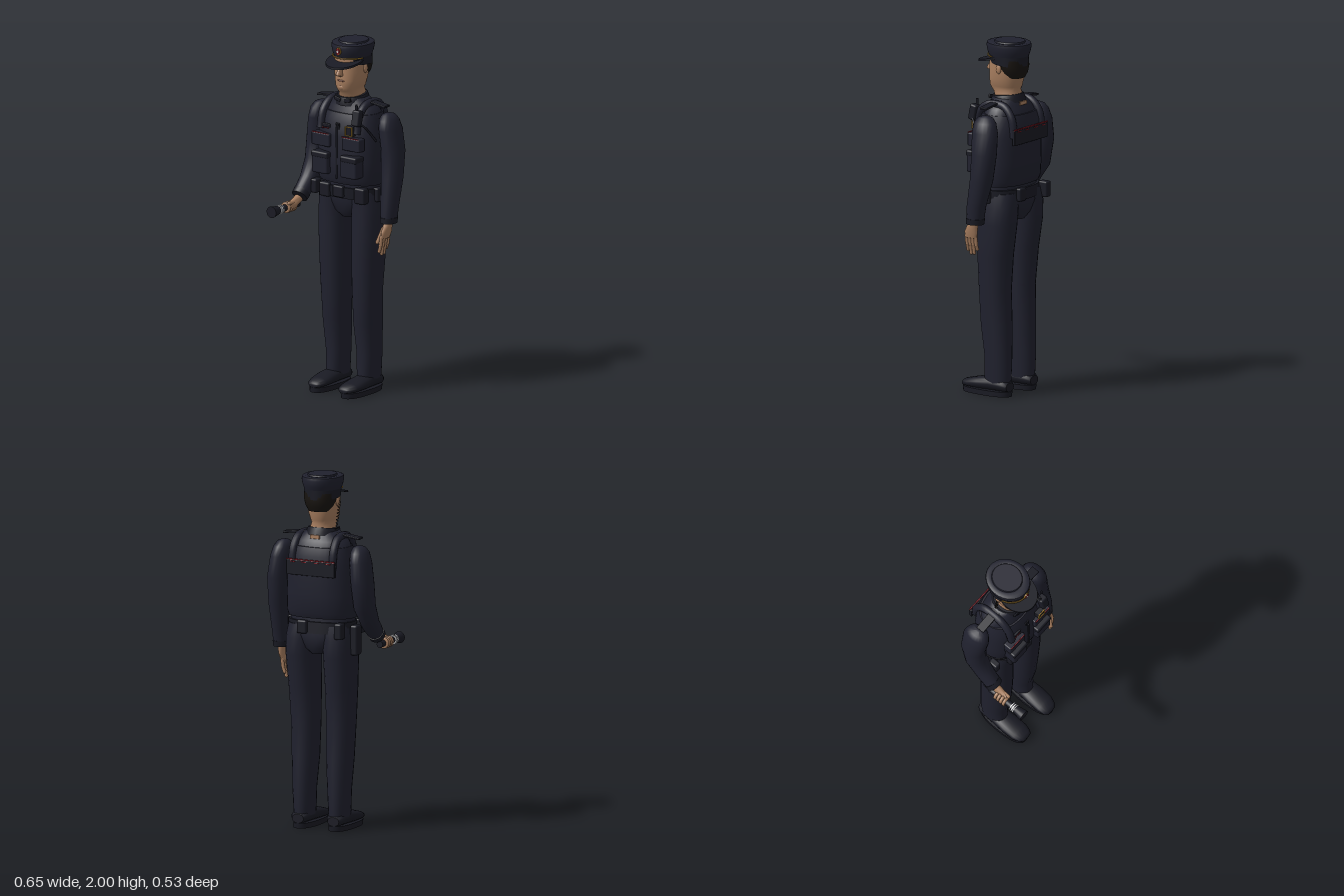
import * as THREE from 'three';
import { toCreasedNormals } from 'three/addons/utils/BufferGeometryUtils.js';
import { RoundedBoxGeometry } from 'three/addons/geometries/RoundedBoxGeometry.js';

const mat = (name, color) => Object.assign(new THREE.MeshStandardMaterial({ color }), { name });

// Closed skin over rings [x, y, z, rx, rz, tilt about x]; power above 2 squares the ring
function loft(rings, n = 24, power = 2, crease = 0.9) {
  const pos = [], idx = [];
  const sq = (v) => Math.sign(v) * Math.pow(Math.abs(v), 2 / power);
  for (const [x, y, z, rx, rz, tilt = 0] of rings) {
    for (let i = 0; i < n; i++) {
      const a = (i / n) * Math.PI * 2, w = rz * sq(Math.sin(a));
      pos.push(x + rx * sq(Math.cos(a)), y - w * Math.sin(tilt), z + w * Math.cos(tilt));
    }
  }
  const last = rings.length - 1, c0 = rings.length * n;
  pos.push(...rings[0].slice(0, 3), ...rings[last].slice(0, 3));
  for (let i = 0; i < n; i++) {
    const j = (i + 1) % n;
    for (let r = 0; r < last; r++) {
      const a = r * n + i, b = r * n + j;
      idx.push(a, a + n, b, b, a + n, b + n);
    }
    idx.push(c0, i, j, c0 + 1, last * n + j, last * n + i);
  }
  const g = new THREE.BufferGeometry();
  g.setAttribute('position', new THREE.Float32BufferAttribute(pos, 3));
  g.setIndex(idx);
  return toCreasedNormals(g, crease);
}

export function createModel() {
  const root = new THREE.Group();
  root.name = 'uniformedOfficer';
  const navy = mat('navyCloth', 0x20212e), black = mat('blackLeather', 0x191a23), skin = mat('skin', 0xa97f60);
  const red = mat('redTrim', 0x7d1822), gold = mat('goldTrim', 0xa07a28), white = mat('whiteTrim', 0xe6e6e6);
  const hair = mat('darkHair', 0x17130f), lip = mat('lips', 0x8a5a48);

  const add = (name, geo, m, x = 0, y = 0, z = 0) => {
    const mesh = new THREE.Mesh(geo, m);
    mesh.name = name;
    mesh.position.set(x, y, z);
    root.add(mesh);
    return mesh;
  };
  const box = (name, m, w, h, d, x, y, z, r = 0.008) =>
    add(name, new RoundedBoxGeometry(w, h, d, 2, Math.min(r, w / 3, h / 3, d / 3)), m, x, y, z);
  const tube = (name, m, pts, r, seg = 24, sides = 8) =>
    add(name, new THREE.TubeGeometry(new THREE.CatmullRomCurve3(pts.map((p) => new THREE.Vector3(...p))), seg, r, sides), m);
  const ball = (name, m, x, y, z, sx, sy, sz) => {
    const b = add(name, new THREE.SphereGeometry(1, 16, 12), m, x, y, z);
    b.scale.set(sx, sy, sz);
    return b;
  };
  // Rounded finger between two points
  const finger = (name, a, b, r) => {
    const p = new THREE.Vector3(...a), d = new THREE.Vector3(...b).sub(p), len = d.length();
    const f = add(name, new THREE.CapsuleGeometry(r, len, 4, 8), skin);
    f.position.copy(p).addScaledVector(d, 0.5);
    f.quaternion.setFromUnitVectors(new THREE.Vector3(0, 1, 0), d.normalize());
  };

  // Legs and shoes
  for (const s of [-1, 1]) {
    add('trouserLeg', loft([
      [s * 0.108, 0.07, -0.11, 0.054, 0.08], [s * 0.108, 0.13, -0.11, 0.057, 0.083],
      [s * 0.108, 0.22, -0.113, 0.062, 0.082], [s * 0.107, 0.4, -0.1, 0.072, 0.093],
      [s * 0.109, 0.6, -0.092, 0.079, 0.094], [s * 0.113, 0.8, -0.097, 0.085, 0.106],
      [s * 0.116, 0.98, -0.11, 0.091, 0.12], [s * 0.112, 1.08, -0.113, 0.091, 0.122],
      [s * 0.1, 1.16, -0.105, 0.09, 0.118]], 20, 2.2), navy);
    add('shoeUpper', loft([
      [s * 0.11, 0.055, -0.195, 0.035, 0.025, 1.57], [s * 0.11, 0.062, -0.17, 0.052, 0.034, 1.57],
      [s * 0.11, 0.066, -0.08, 0.055, 0.04, 1.57], [s * 0.11, 0.06, 0.0, 0.06, 0.035, 1.57],
      [s * 0.108, 0.052, 0.07, 0.058, 0.026, 1.57], [s * 0.105, 0.047, 0.11, 0.045, 0.02, 1.57],
      [s * 0.104, 0.043, 0.124, 0.03, 0.012, 1.57]], 20, 2.2), black);
    add('shoeSole', loft([[s * 0.109, 0, -0.038, 0.06, 0.159], [s * 0.109, 0.03, -0.038, 0.061, 0.162]], 24, 2.5), black);
  }

  // Torso
  add('hips', loft([[0, 0.995, -0.115, 0.045, 0.085], [0, 1.03, -0.112, 0.1, 0.11], [0, 1.1, -0.112, 0.18, 0.122],
    [0, 1.17, -0.1, 0.188, 0.12], [0, 1.23, -0.1, 0.185, 0.12]], 28, 2.3), navy);
  add('jacket', loft([[0, 1.21, -0.1, 0.19, 0.128], [0, 1.5, -0.105, 0.188, 0.135], [0, 1.58, -0.11, 0.18, 0.122],
    [0, 1.63, -0.108, 0.155, 0.1], [0, 1.665, -0.103, 0.11, 0.085], [0, 1.685, -0.1, 0.085, 0.08]], 28, 2.2), navy);
  add('vest', loft([[0, 1.2, -0.1, 0.197, 0.132], [0, 1.23, -0.1, 0.204, 0.145], [0, 1.33, -0.1, 0.205, 0.15],
    [0, 1.47, -0.105, 0.2, 0.148], [0, 1.55, -0.108, 0.188, 0.14], [0, 1.6, -0.11, 0.172, 0.122]], 32, 2.4), navy);
  box('vestZip', black, 0.012, 0.3, 0.008, 0, 1.38, 0.048);
  for (const x of [-0.008, 0.008]) box('zipTab', black, 0.01, 0.035, 0.01, x, 1.53, 0.036);
  for (const s of [-1, 1]) {
    tube('shoulderStrap', navy, [[s * 0.125, 1.5, 0.03], [s * 0.125, 1.6, 0.005], [s * 0.122, 1.648, -0.05], [s * 0.12, 1.655, -0.11],
      [s * 0.122, 1.645, -0.17], [s * 0.125, 1.59, -0.217], [s * 0.125, 1.48, -0.236]], 0.022, 28, 10);
    const ep = box('epaulet', black, 0.165, 0.012, 0.05, s * 0.155, 1.66, -0.105, 0.003);
    ep.rotation.z = -s * 0.13;
    box('chestPocket', navy, 0.125, 0.075, 0.055, s * 0.105, 1.442, 0.033);
    box('redPiping', red, 0.115, 0.005, 0.006, s * 0.105, 1.48, 0.06, 0.001);
    box('vestPouch', navy, 0.11, 0.12, 0.085, s * 0.1, 1.31, 0.035, 0.012);
    box('pouchFlap', black, 0.114, 0.035, 0.088, s * 0.1, 1.358, 0.036, 0.01);
  }
  box('namePatch', black, 0.085, 0.02, 0.014, -0.095, 1.522, 0.032, 0.003);
  box('redPiping', red, 0.065, 0.004, 0.006, -0.095, 1.508, 0.038, 0.001);
  box('badgeHolder', black, 0.05, 0.055, 0.03, 0.095, 1.518, 0.045, 0.003);
  for (const y of [1.493, 1.543]) box('badgeFrame', gold, 0.05, 0.004, 0.007, 0.095, y, 0.062, 0.001);
  for (const x of [0.072, 0.118]) box('badgeFrame', gold, 0.004, 0.05, 0.007, x, 1.518, 0.062, 0.001);

  // Shoulder radio and cable
  box('radio', black, 0.05, 0.09, 0.045, 0.135, 1.595, 0.035, 0.01).rotation.x = -0.2;
  add('radioAerial', new THREE.CylinderGeometry(0.007, 0.009, 0.05, 10), black, 0.122, 1.645, 0.025);
  tube('radioCable', black, [[0.15, 1.57, 0.04], [0.172, 1.54, 0.01], [0.188, 1.5, -0.02], [0.21, 1.46, -0.04]], 0.006);

  // Back panel with red edging
  box('backPanel', black, 0.3, 0.085, 0.02, 0, 1.485, -0.25, 0.004);
  box('backRedEdge', red, 0.3, 0.006, 0.008, 0, 1.53, -0.256, 0.001);
  for (const x of [-0.11, -0.04, 0.04, 0.11]) box('backRedMark', red, 0.03, 0.005, 0.004, x, 1.518, -0.261, 0.001);

  // Collar and nape
  add('collar', loft([[0, 1.65, -0.1, 0.098, 0.1, 0.12], [0, 1.68, -0.097, 0.09, 0.094, 0.12],
    [0, 1.695, -0.097, 0.083, 0.088, 0.12]], 24, 2), black);
  for (const s of [-1, 1]) box('collarTab', black, 0.045, 0.022, 0.012, s * 0.035, 1.672, -0.008, 0.004).rotation.z = s * 0.25;
  box('napePatch', skin, 0.06, 0.022, 0.008, 0.0, 1.655, -0.203, 0.003);

  // Belt
  add('belt', loft([[0, 1.115, -0.107, 0.193, 0.13], [0, 1.18, -0.103, 0.196, 0.13]], 32, 2.4), black);
  box('beltBuckle', black, 0.07, 0.065, 0.03, 0, 1.155, 0.027, 0.008);
  for (const [x, y, z, w, h, d] of [[0.14, 1.145, 0.005, 0.07, 0.09, 0.05], [-0.1, 1.15, 0.015, 0.07, 0.08, 0.04],
    [0.19, 1.145, -0.09, 0.04, 0.08, 0.07], [-0.165, 1.14, -0.225, 0.045, 0.09, 0.06], [0.06, 1.15, -0.235, 0.06, 0.075, 0.035],
    [-0.2, 1.145, -0.03, 0.04, 0.08, 0.06]]) box('beltPouch', black, w, h, d, x, y, z, 0.01);
  box('holster', black, 0.045, 0.17, 0.065, -0.215, 1.08, -0.125, 0.012);

  // Arms
  const upper = (s) => [[s * 0.26, 1.4, -0.13, 0.063, 0.075], [s * 0.246, 1.52, -0.125, 0.058, 0.08],
    [s * 0.238, 1.575, -0.12, 0.05, 0.068], [s * 0.234, 1.602, -0.12, 0.034, 0.046], [s * 0.232, 1.612, -0.12, 0.012, 0.016]];
  add('leftSleeve', loft([[0.27, 1.0, -0.075, 0.043, 0.05], [0.271, 1.1, -0.085, 0.049, 0.057],
    [0.264, 1.25, -0.115, 0.06, 0.068], ...upper(1)], 20), navy);
  add('leftCuff', loft([[0.27, 0.998, -0.075, 0.046, 0.053], [0.27, 1.03, -0.078, 0.048, 0.055]], 20), black);
  add('rightSleeve', loft([[-0.27, 1.085, 0.03, 0.044, 0.044, -0.85], [-0.267, 1.16, -0.045, 0.051, 0.053, -0.75],
    [-0.264, 1.265, -0.11, 0.061, 0.065, -0.35], ...upper(-1)], 20), navy);
  add('rightCuff', loft([[-0.27, 1.083, 0.032, 0.047, 0.047, -0.85], [-0.27, 1.105, 0.008, 0.049, 0.05, -0.85]], 20), black);

  // Left hand, hanging
  add('leftPalm', loft([[0.268, 0.915, -0.045, 0.014, 0.04], [0.274, 0.95, -0.05, 0.018, 0.044],
    [0.275, 0.985, -0.06, 0.021, 0.034], [0.272, 1.02, -0.07, 0.025, 0.03]], 16), skin);
  [[-0.076, 0.85], [-0.055, 0.825], [-0.034, 0.823], [-0.013, 0.84]].forEach(([z, tip]) => {
    finger('leftFinger', [0.268, 0.925, z], [0.261, 0.875, z], 0.0105);
    finger('leftFinger', [0.261, 0.875, z], [0.252, tip, z], 0.0095);
  });
  finger('leftThumb', [0.265, 0.97, -0.03], [0.247, 0.895, -0.002], 0.011);

  // Right hand gripping the torch
  const tx = -0.29, ty = 1.035;
  add('rightPalm', loft([[-0.276, 1.045, 0.125, 0.016, 0.022, -1.5], [-0.272, 1.05, 0.085, 0.02, 0.028, -1.35],
    [-0.272, 1.075, 0.035, 0.024, 0.026, -0.9]], 16), skin);
  for (let i = 0; i < 4; i++) add('rightFinger', new THREE.TorusGeometry(0.023, 0.0095, 8, 16), skin, tx, ty, 0.07 + i * 0.02);
  finger('rightThumb', [-0.265, 1.062, 0.06], [-0.268, 1.062, 0.13], 0.011);

  // Torch along z: [name, material, back radius, front radius, start, end]
  for (const [name, m, r0, r1, z0, z1] of [['torchBody', black, 0.019, 0.019, 0.02, 0.2], ['torchRing', white, 0.026, 0.026, 0.174, 0.18],
    ['torchRing', black, 0.025, 0.025, 0.18, 0.187], ['torchRing', white, 0.026, 0.026, 0.187, 0.193],
    ['torchRing', black, 0.025, 0.025, 0.193, 0.198], ['torchRing', white, 0.026, 0.026, 0.198, 0.203],
    ['torchHead', black, 0.023, 0.033, 0.203, 0.263]])
    add(name, new THREE.CylinderGeometry(r1, r0, z1 - z0, 20), m, tx, ty, (z0 + z1) / 2).rotation.x = Math.PI / 2;

  // Head
  add('head', loft([[0, 1.65, -0.1, 0.068, 0.075], [0, 1.705, -0.097, 0.067, 0.08], [0, 1.725, -0.084, 0.062, 0.088],
    [0, 1.742, -0.083, 0.07, 0.096], [0, 1.785, -0.088, 0.082, 0.1], [0, 1.83, -0.091, 0.086, 0.103],
    [0, 1.87, -0.092, 0.088, 0.1], [0, 1.92, -0.095, 0.088, 0.105]], 28, 2.2, 1.3), skin);
  add('nose', loft([[0, 1.81, 0.008, 0.012, 0.014], [0, 1.82, 0.015, 0.018, 0.034], [0, 1.833, 0.015, 0.014, 0.032],
    [0, 1.86, 0.006, 0.009, 0.02], [0, 1.885, 0.004, 0.008, 0.01]], 12, 2, 1.3), skin);
  ball('chin', skin, 0, 1.747, -0.002, 0.027, 0.018, 0.017);
  ball('mouth', lip, 0, 1.785, 0.008, 0.025, 0.006, 0.007);
  for (const s of [-1, 1]) {
    ball('eyeWhite', white, s * 0.035, 1.865, -0.002, 0.013, 0.005, 0.008);
    ball('iris', hair, s * 0.035, 1.865, 0.003, 0.006, 0.005, 0.005);
    box('eyebrow', hair, 0.034, 0.006, 0.008, s * 0.037, 1.881, 0.001, 0.002);
    ball('ear', skin, s * 0.09, 1.848, -0.1, 0.009, 0.027, 0.017);
  }
  add('hair', loft([[0, 1.795, -0.14, 0.062, 0.058], [0, 1.825, -0.138, 0.08, 0.074], [0, 1.86, -0.13, 0.091, 0.088],
    [0, 1.9, -0.12, 0.094, 0.095]], 24, 2.2), hair);

  // Peaked cap
  add('capBand', loft([[0, 1.87, -0.108, 0.099, 0.11, -0.08], [0, 1.935, -0.103, 0.101, 0.117]], 32), black);
  add('capCrown', loft([[0, 1.918, -0.103, 0.101, 0.117], [0, 1.94, -0.103, 0.108, 0.126], [0, 1.972, -0.104, 0.114, 0.132],
    [0, 1.988, -0.104, 0.112, 0.128], [0, 1.994, -0.106, 0.101, 0.112], [0, 1.992, -0.11, 0.082, 0.09],
    [0, 2.0, -0.11, 0.078, 0.086]], 36), navy);
  add('capVisor', loft([[0, 1.889, -0.03, 0.106, 0.117, 0.22], [0, 1.9, -0.03, 0.105, 0.115, 0.22]], 32), black);
  const cord = [];
  for (let i = 0; i <= 10; i++) {
    const a = Math.PI * (0.1 + 0.08 * i);
    cord.push([0.104 * Math.cos(a), 1.914, -0.1 + 0.12 * Math.sin(a)]);
  }
  tube('capCord', gold, cord, 0.004, 30, 6);
  for (const [name, m, r, z] of [['capBadge', gold, 0.016, 0.029], ['capBadgeRed', red, 0.013, 0.033], ['capBadgeCentre', white, 0.005, 0.036]]) {
    const b = add(name, new THREE.CylinderGeometry(r, r, 0.009, 20), m, 0, 1.957, z);
    b.rotation.x = Math.PI / 2;
    b.scale.z = 1.4;
  }

  // Coiled earpiece wire
  const coil = [];
  for (let i = 0; i <= 72; i++) {
    const t = i / 72, a = t * Math.PI * 18;
    coil.push([-0.1 + 0.012 * t + 0.006 * Math.cos(a), 1.85 - 0.16 * t, -0.095 - 0.02 * t + 0.006 * Math.sin(a)]);
  }
  tube('earpieceWire', hair, coil, 0.002, 150, 5);
  return root;
}
